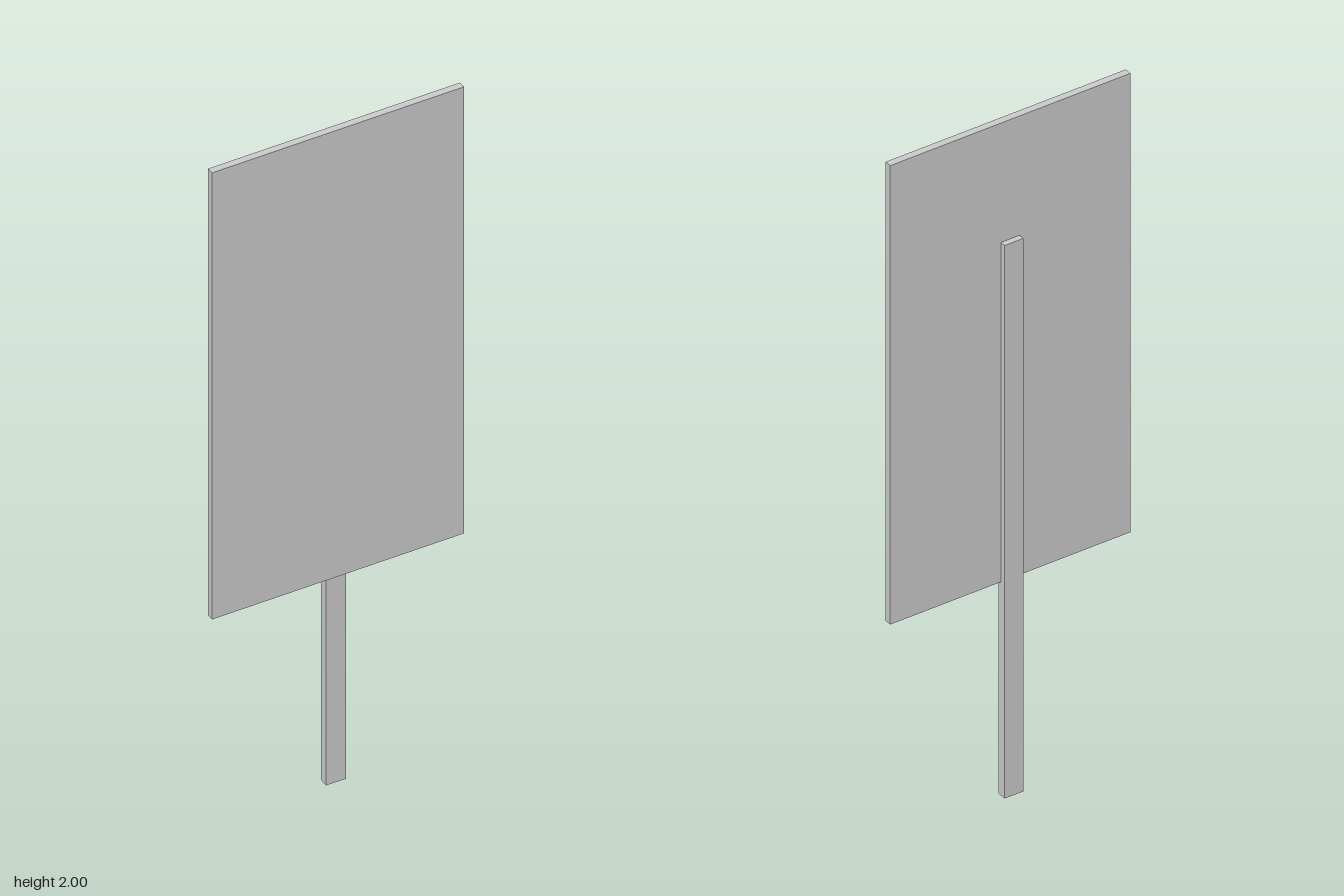
import * as THREE from 'three';

export function createModel() {
  const group = new THREE.Group();
  const material = new THREE.MeshStandardMaterial({ color: 0xcccccc, flatShading: true });

  // Box given by its width and its y and z ranges, centred on x = 0
  const addBox = (name, width, [y0, y1], [z0, z1]) => {
    const mesh = new THREE.Mesh(new THREE.BoxGeometry(width, y1 - y0, z1 - z0), material);
    mesh.position.set(0, (y0 + y1) / 2, (z0 + z1) / 2);
    mesh.name = name;
    group.add(mesh);
  };

  // Flat sign panel
  addBox('signBoard', 0.71, [0.635, 2], [-0.002, 0.018]);
  // Post behind the panel, let slightly into its back
  addBox('post', 0.055, [0, 1.645], [-0.018, 0.008]);

  return group;
}
